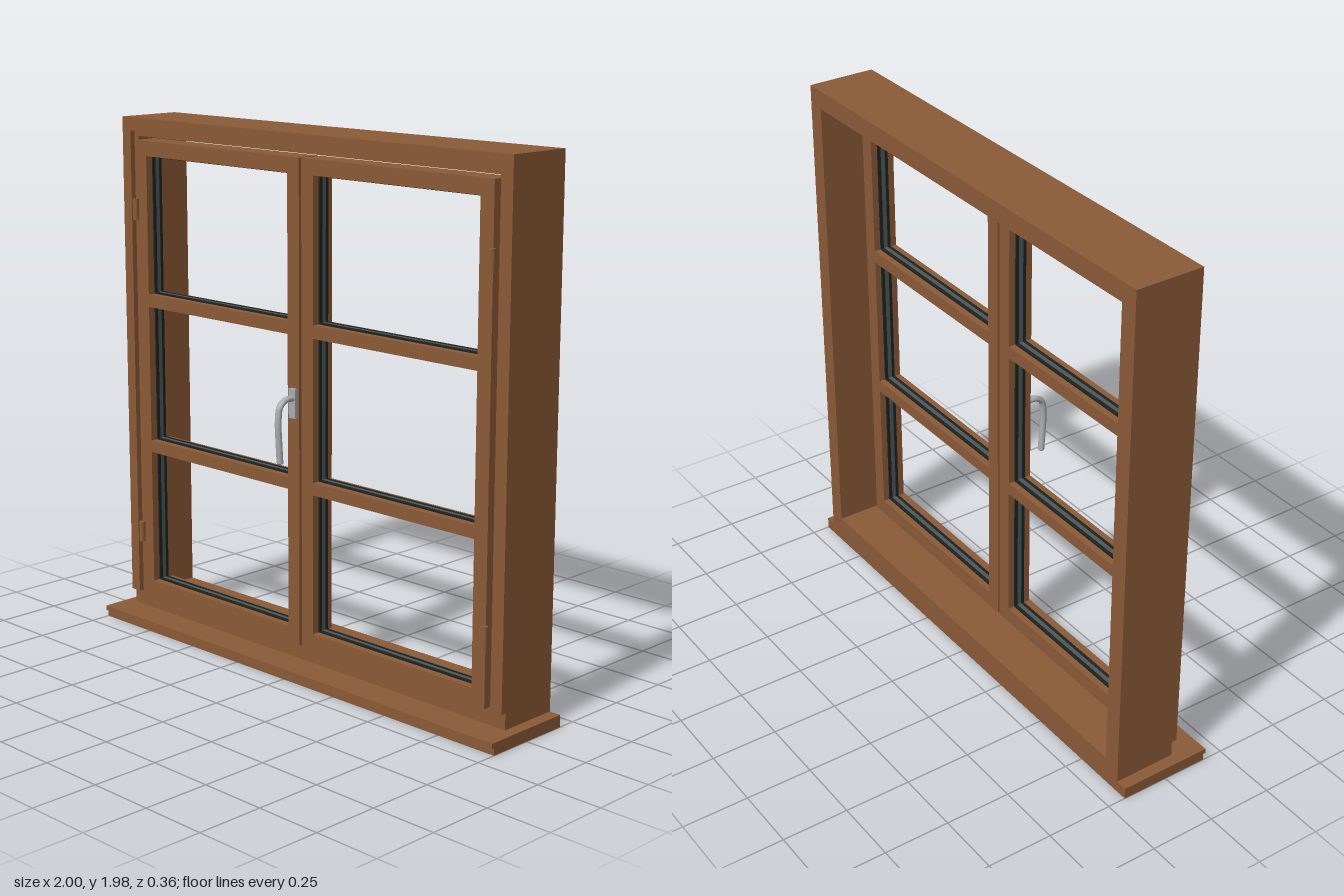
import * as THREE from 'three';

const material = (name, color) => {
  const m = new THREE.MeshStandardMaterial({ color });
  m.name = name;
  return m;
};

export function createModel() {
  const wood = material('brown wood', 0x8b5a37);
  const rubber = material('black rubber', 0x1c2220);
  const spacerGrey = material('dark grey spacer', 0x505759);
  const metal = material('satin metal', 0xa9adb0);

  const model = new THREE.Group();
  model.name = 'casementWindow';

  const add = (parent, name, geometry, mat) => {
    const mesh = new THREE.Mesh(geometry, mat);
    mesh.name = name;
    parent.add(mesh);
    return mesh;
  };

  // Box given by its limits on each axis
  const box = (parent, name, [x0, x1], [y0, y1], [z0, z1], mat) => {
    const mesh = add(parent, name, new THREE.BoxGeometry(x1 - x0, y1 - y0, z1 - z0), mat);
    mesh.position.set((x0 + x1) / 2, (y0 + y1) / 2, (z0 + z1) / 2);
    return mesh;
  };

  const corners = (x0, x1, y0, y1) => [[x0, y0], [x1, y0], [x1, y1], [x0, y1]].map(p => new THREE.Vector2(...p));

  // Flat outline with holes, extruded from z0 to z1
  const slab = (parent, name, outline, holes, [z0, z1], mat) => {
    const shape = new THREE.Shape(outline);
    holes.forEach(h => shape.holes.push(new THREE.Path(h)));
    const geometry = new THREE.ExtrudeGeometry(shape, { depth: z1 - z0, bevelEnabled: false });
    geometry.translate(0, 0, z0);
    return add(parent, name, geometry, mat);
  };

  // Sill board with a projecting nosing
  const sill = new THREE.Group();
  sill.name = 'sill';
  model.add(sill);
  box(sill, 'sillBase', [-1, 1], [0, 0.027], [-0.18, 0.17], wood);
  box(sill, 'sillNosing', [-1, 1], [0.027, 0.045], [-0.18, 0.18], wood);

  // Deep outer frame
  slab(model, 'frame', corners(-0.955, 0.955, 0.045, 1.975),
    [corners(-0.888, 0.888, 0.105, 1.905)], [-0.18, 0.06], wood);

  // Raised trim on the sides and top of the frame
  const trim = [
    [-0.955, 0.105], [-0.91, 0.105], [-0.91, 1.925], [0.91, 1.925],
    [0.91, 0.105], [0.955, 0.105], [0.955, 1.975], [-0.955, 1.975],
  ].map(p => new THREE.Vector2(...p));
  slab(model, 'frameTrim', trim, [], [0.06, 0.08], wood);

  // Two sashes, each with three panes, gaskets and hinges
  const paneRows = [[0.167, 0.69], [0.736, 1.261], [1.309, 1.835]];
  for (const side of [-1, 1]) {
    const sash = new THREE.Group();
    sash.name = side > 0 ? 'leftSash' : 'rightSash';
    model.add(sash);
    const span = (a, b) => side > 0 ? [a, b] : [-b, -a];
    const [px0, px1] = span(0.064, 0.821);

    slab(sash, 'sashFrame', corners(...span(0.006, 0.879), 0.105, 1.892),
      paneRows.map(([y0, y1]) => corners(px0, px1, y0, y1)), [-0.015, 0.08], wood);

    // Gaskets on both faces of the glazing with a spacer between
    const ring = (name, [y0, y1], inset, depth, mat) =>
      slab(sash, name, corners(px0, px1, y0, y1),
        [corners(px0 + inset, px1 - inset, y0 + inset, y1 - inset)], depth, mat);
    for (const row of paneRows) {
      ring('frontGasket', row, 0.006, [0.04, 0.052], rubber);
      ring('glazingSpacer', row, 0.005, [0.022, 0.04], spacerGrey);
      ring('backGasket', row, 0.006, [0.01, 0.022], rubber);
    }

    for (const y of [0.36, 1.63]) {
      const hinge = add(sash, 'hinge', new THREE.CylinderGeometry(0.012, 0.012, 0.08, 16), wood);
      hinge.position.set(side * 0.879, y, 0.086);
    }
  }

  // Handle: back plate, and a lever that turns down from its neck
  const handle = new THREE.Group();
  handle.name = 'handle';
  handle.position.x = -0.03;
  model.add(handle);
  box(handle, 'handlePlate', [-0.016, 0.016], [0.96, 1.068], [0.08, 0.093], metal);

  const path = new THREE.CatmullRomCurve3([
    [1.033, 0.088], [1.032, 0.125], [1.012, 0.152], [0.96, 0.161], [0.88, 0.158], [0.807, 0.153],
  ].map(([y, z]) => new THREE.Vector3(0, y, z)));
  const lever = add(handle, 'handleLever', new THREE.TubeGeometry(path, 32, 0.011, 14), metal);
  lever.scale.x = 1.25;
  const tip = add(handle, 'handleTip', new THREE.SphereGeometry(0.011, 14, 8), metal);
  tip.scale.set(1.25, 0.6, 1);
  tip.position.set(0, 0.807, 0.153);

  return model;
}
